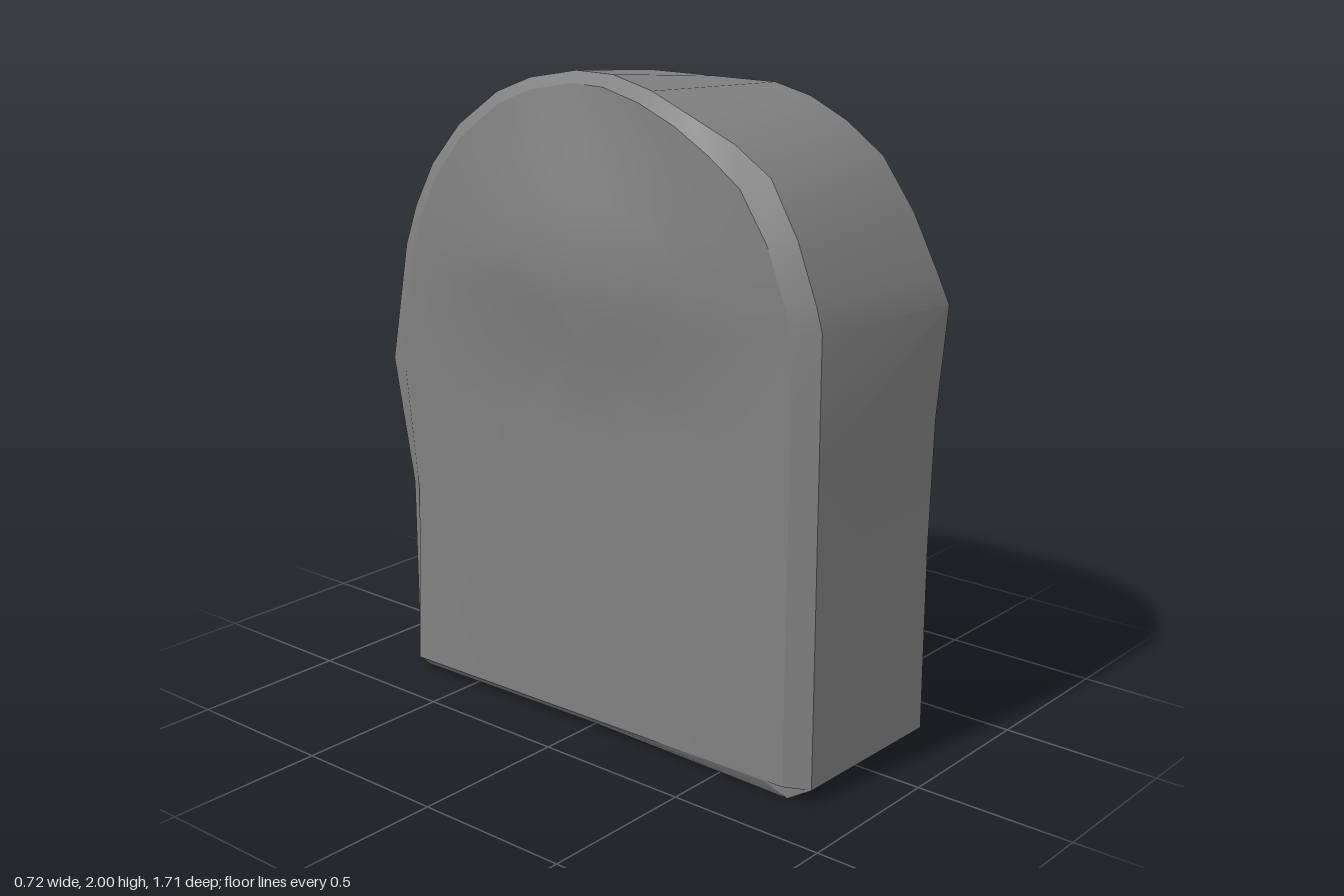
import * as THREE from 'three';
import { toCreasedNormals } from 'three/addons/utils/BufferGeometryUtils.js';

// Outline of the slab, from the front foot over the arch to the back foot.
// Each row: z and y of the left (+x) rim, then z, y and x of the right (-x) rim.
const OUTLINE = [
  [0.75, 0.01, 0.75, 0.00, -0.30],
  [0.83, 0.04, 0.82, 0.04, -0.28],
  [0.83, 0.62, 0.82, 0.62, -0.28],
  [0.84, 1.02, 0.82, 1.02, -0.28],
  [0.855, 1.36, 0.82, 1.38, -0.28],
  [0.82, 1.45, 0.80, 1.45, -0.28],
  [0.74, 1.62, 0.73, 1.62, -0.275],
  [0.63, 1.77, 0.62, 1.77, -0.25],
  [0.50, 1.86, 0.50, 1.85, -0.255],
  [0.37, 1.92, 0.36, 1.92, -0.28],
  [0.24, 1.95, 0.20, 1.97, -0.25],
  [0.00, 1.95, 0.03, 2.00, -0.22],
  [-0.13, 1.95, -0.12, 2.00, -0.21],
  [-0.24, 1.95, -0.28, 1.97, -0.235],
  [-0.36, 1.91, -0.40, 1.92, -0.255],
  [-0.54, 1.81, -0.55, 1.81, -0.27],
  [-0.66, 1.68, -0.66, 1.68, -0.28],
  [-0.74, 1.54, -0.74, 1.54, -0.28],
  [-0.79, 1.41, -0.79, 1.41, -0.28],
  [-0.79, 1.02, -0.855, 1.03, -0.29],
  [-0.79, 0.62, -0.79, 0.62, -0.28],
  [-0.81, 0.04, -0.79, 0.04, -0.28],
  [-0.72, 0.01, -0.72, 0.00, -0.30],
  [0.00, 0.005, 0.00, 0.01, -0.30],
];

const tent = (v, centre, width) => Math.max(0, 1 - Math.abs(v - centre) / width);

// Uneven depth of the two broad faces
function leftFaceX(z, y) {
  const foot = Math.max(0, (0.62 - y) / 0.58);
  const bulge = 0.062 * tent(y, 1.0, y > 1 ? 0.6 : 0.4) * tent(z, 0, 0.85);
  return 0.297 + bulge + foot * (0.045 - 0.02 * z / 0.75);
}
function rightFaceX(z, y) {
  const foot = Math.max(0, (0.9 - y) / 0.86);
  const bulge = 0.06 * tent(y, 1.43, 0.32) * tent(z, 0, 0.8);
  const dip = 0.07 * Math.max(0, (y - 1.65) / 0.3) * tent(z, -0.1, 0.5);
  return -0.315 - bulge + dip - foot * (0.02 - 0.015 * z / 0.75);
}

// Rings of one broad face, from the chamfer edge inwards to its middle
function faceRings(zi, yi, faceX) {
  const midY = 1.2;
  return [1, 0.8, 0.6, 0.4, 0.2, 0].map((s) => OUTLINE.map((p) => {
    const z = p[zi] * 0.91 * s;
    const edgeY = p[yi] > 1 ? 1 + (p[yi] - 1) * 0.967 : Math.max(p[yi], 0.043);
    const y = midY + (edgeY - midY) * s;
    return new THREE.Vector3(faceX(z, y), y, z);
  }));
}

function slabGeometry() {
  // The left rim flares at the back foot and at the front shoulder
  const leftRim = OUTLINE.map(([z, y]) => {
    const foot = Math.max(0, (0.62 - y) / 0.58) * (0.03 - 0.036 * z);
    const shoulder = 0.025 * tent(y, 1.36, 0.3) * tent(z, 0.855, 0.15);
    return new THREE.Vector3(0.27 + foot + shoulder, y, z);
  });
  const rightRim = OUTLINE.map((p) => new THREE.Vector3(p[4], p[3], p[2]));
  const rings = [
    ...faceRings(0, 1, leftFaceX).reverse(),
    leftRim,
    rightRim,
    ...faceRings(2, 3, rightFaceX),
  ];

  // Skin neighbouring rings, leaving out collapsed triangles at the middles
  const positions = [];
  const triangle = (a, b, c) => {
    if (a.distanceTo(b) < 1e-6 || b.distanceTo(c) < 1e-6 || c.distanceTo(a) < 1e-6) return;
    for (const v of [a, b, c]) positions.push(v.x, v.y, v.z);
  };
  const n = OUTLINE.length;
  for (let r = 0; r < rings.length - 1; r++) {
    for (let j = 0; j < n; j++) {
      const k = (j + 1) % n;
      const a = rings[r][j], a2 = rings[r][k];
      const b = rings[r + 1][j], b2 = rings[r + 1][k];
      triangle(a, a2, b);
      triangle(a2, b2, b);
    }
  }
  const geometry = new THREE.BufferGeometry();
  geometry.setAttribute('position', new THREE.Float32BufferAttribute(positions, 3));
  return toCreasedNormals(geometry, 0.4);
}

export function createModel() {
  const model = new THREE.Group();
  model.name = 'archedStone';
  // Weathered upright slab with an arched top and chamfered edges
  const slab = new THREE.Mesh(slabGeometry(), new THREE.MeshStandardMaterial({ color: 0x808080 }));
  slab.name = 'stoneSlab';
  model.add(slab);
  return model;
}
